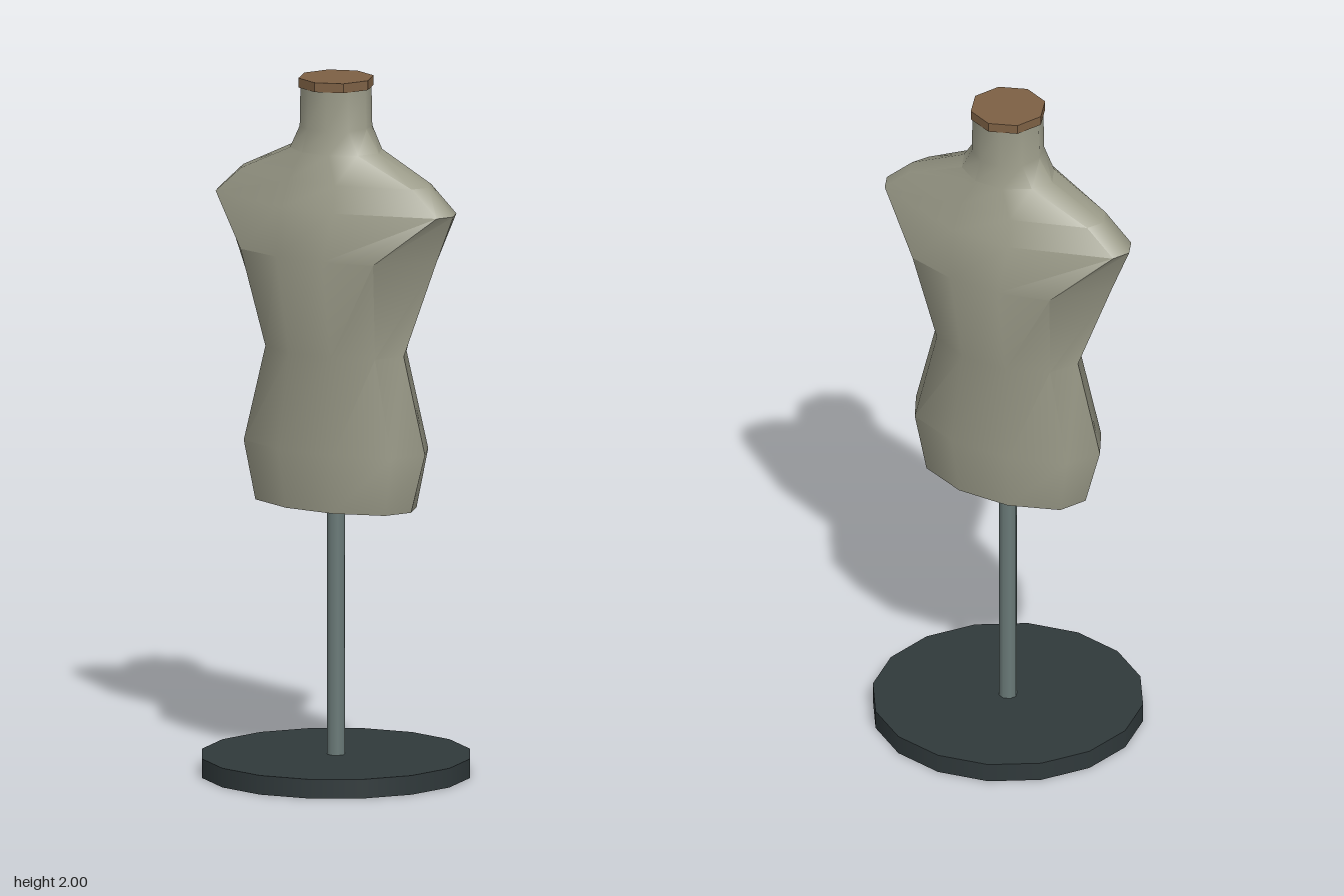
import * as THREE from 'three';
import { toCreasedNormals } from 'three/addons/utils/BufferGeometryUtils.js';

const paint = (color) => new THREE.MeshStandardMaterial({ color });

// Ten-sided torso sections: height, side tip x, then side corner (x, z) and front corner (x, z)
const sections = [
  [0.775, 0.255, 0.22, 0.08, 0.08, 0.135],
  [0.945, 0.302, 0.25, 0.094, 0.093, 0.155],
  [1.22, 0.23, 0.186, 0.08, 0.071, 0.133],
  [1.505, 0.342, 0.225, 0.148, 0.078, 0.187],
  [1.64, 0.398, 0.375, 0.05, 0.09, 0.148],
  [1.715, 0.315, 0.29, 0.05, 0.08, 0.125],
  [1.795, 0.145, 0.115, 0.062, 0.045, 0.106],
  [1.86, 0.104, 0.083, 0.06, 0.032, 0.097],
  [1.98, 0.1, 0.081, 0.059, 0.031, 0.095],
];

function ring([y, tip, sx, sz, fx, fz]) {
  const half = [[tip, 0], [sx, sz], [fx, fz], [-fx, fz], [-sx, sz]];
  // the other half is the same half turned by 180 degrees
  return [...half, ...half.map(([x, z]) => [-x, -z])].map(([x, z]) => [x, y, z]);
}

function loft(rings) {
  const n = rings[0].length, index = [];
  for (let j = 0; j < rings.length - 1; j++) {
    for (let i = 0; i < n; i++) {
      const a = j * n + i, b = j * n + (i + 1) % n;
      index.push(a, a + n, b, b, a + n, b + n);
    }
  }
  // flat underside
  for (let i = 1; i < n - 1; i++) index.push(0, i, i + 1);
  const geometry = new THREE.BufferGeometry();
  geometry.setAttribute('position', new THREE.Float32BufferAttribute(rings.flat(2), 3));
  geometry.setIndex(index);
  return toCreasedNormals(geometry, 0.8);
}

export function createModel() {
  const group = new THREE.Group();

  const add = (name, geometry, material, y = 0) => {
    const mesh = new THREE.Mesh(geometry, material);
    mesh.name = name;
    mesh.position.y = y;
    group.add(mesh);
  };

  // Stand
  add('base', new THREE.CylinderGeometry(0.385, 0.385, 0.055, 16), paint(0x30393b), 0.0275);
  add('pole', new THREE.CylinderGeometry(0.026, 0.026, 0.74, 8), paint(0x6a7a78), 0.415);

  // Dress form and its wooden neck cap
  add('torso', loft(sections.map(ring)), paint(0x9a9a88));
  const cap = paint(0x7d6044);
  cap.flatShading = true;
  add('neckCap', new THREE.CylinderGeometry(0.108, 0.108, 0.027, 8), cap, 1.9865);

  return group;
}
